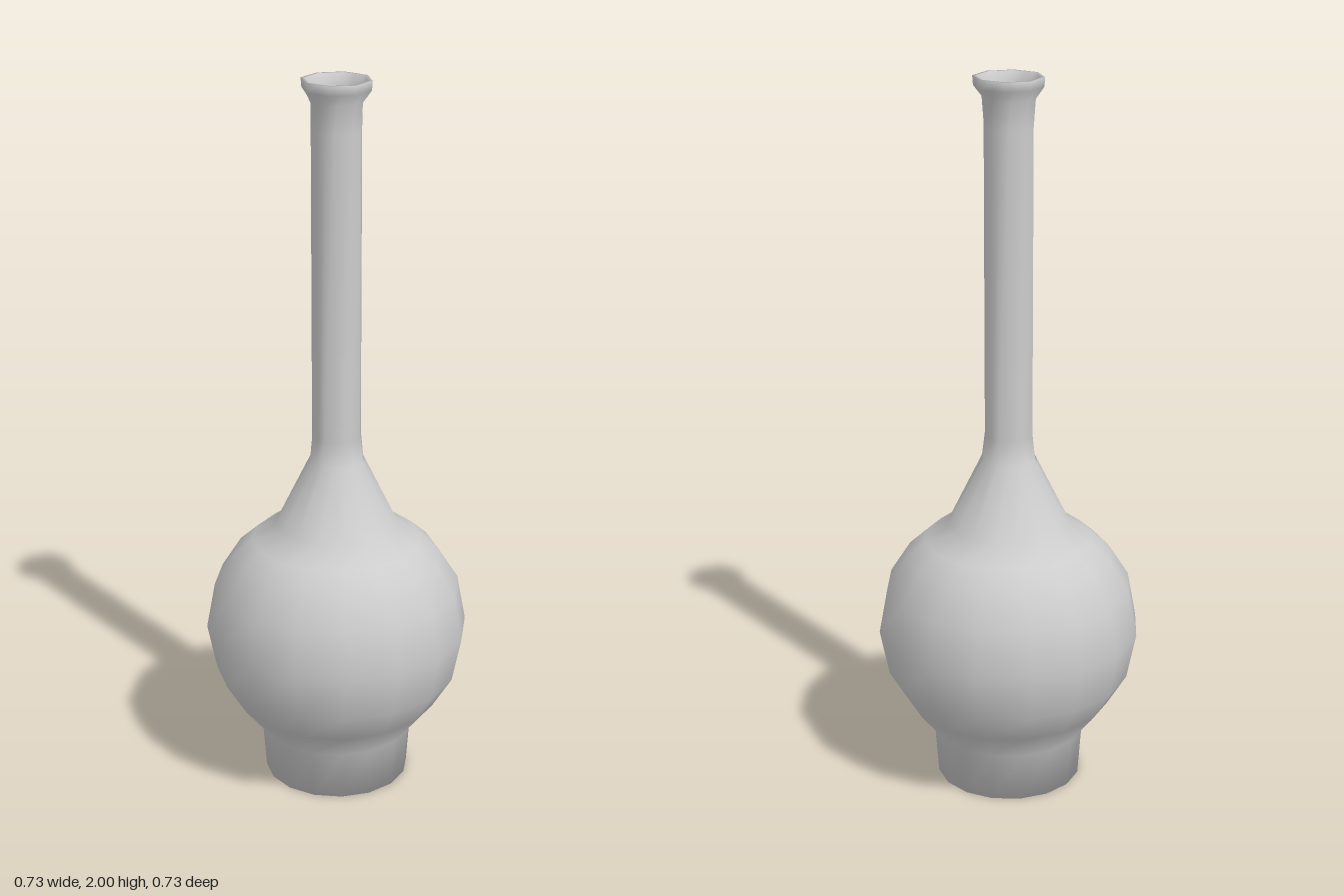
import * as THREE from 'three';

const RADIAL = 16;

// Skins rings of [radius, height, twist in degrees, octagonal?], with shared vertices for smooth shading.
function ringSkin(rows) {
  const pos = [], idx = [];
  for (const [r, y, twist, octagonal] of rows) {
    for (let j = 0; j < RADIAL; j++) {
      const a = (j / RADIAL) * Math.PI * 2 + THREE.MathUtils.degToRad(twist);
      // odd points of an octagonal ring sit on the middle of its straight sides
      const rr = octagonal && j % 2 ? r * Math.cos(Math.PI / 8) : r;
      pos.push(rr * Math.sin(a), y, rr * Math.cos(a));
    }
  }
  for (let i = 0; i < rows.length - 1; i++) {
    for (let j = 0; j < RADIAL; j++) {
      const k = (j + 1) % RADIAL;
      const a = i * RADIAL + j, b = i * RADIAL + k;
      const c = b + RADIAL, d = a + RADIAL;
      if (rows[i][0] > 0) idx.push(a, b, c);
      else { idx.push(a, c, d); continue; }
      if (rows[i + 1][0] > 0) idx.push(a, c, d);
    }
  }
  const g = new THREE.BufferGeometry();
  g.setAttribute('position', new THREE.Float32BufferAttribute(pos, 3));
  g.setIndex(idx);
  g.computeVertexNormals();
  return g;
}

export function createModel() {
  const group = new THREE.Group();
  group.name = 'vase';
  const glaze = new THREE.MeshStandardMaterial({ color: 0xcccccc });
  glaze.name = 'pale grey glaze';

  // Outside: foot, round belly, shoulder cone, long neck and flared lip
  const outside = [
    [0, 0, 17], [0.203, 0, 17], [0.213, 0.14, 17],
    [0.285, 0.23, 17], [0.34, 0.32, 17], [0.366, 0.45, 17],
    [0.342, 0.58, 17], [0.285, 0.67, 17], [0.235, 0.715, 17], [0.168, 0.762, 17],
    [0.078, 0.95, 10, true], [0.07, 1.02, 8, true],
    [0.07, 1.87, 8, true], [0.073, 1.945, 14, true],
    [0.093, 1.975, 22.5, true], [0.095, 2, 22.5, true],
  ];
  // Inside: lip, bore of the neck and hollow belly
  const inside = [
    [0.085, 2, 22.5, true], [0.078, 1.975, 20, true], [0.061, 1.93, 8, true],
    [0.061, 1.0, 8, true], [0.15, 0.74, 17], [0.32, 0.56, 17],
    [0.32, 0.34, 17], [0.18, 0.1, 17], [0, 0.1, 17],
  ];
  const body = new THREE.Mesh(ringSkin([...outside, ...inside]), glaze);
  body.name = 'vaseBody';
  group.add(body);
  return group;
}
